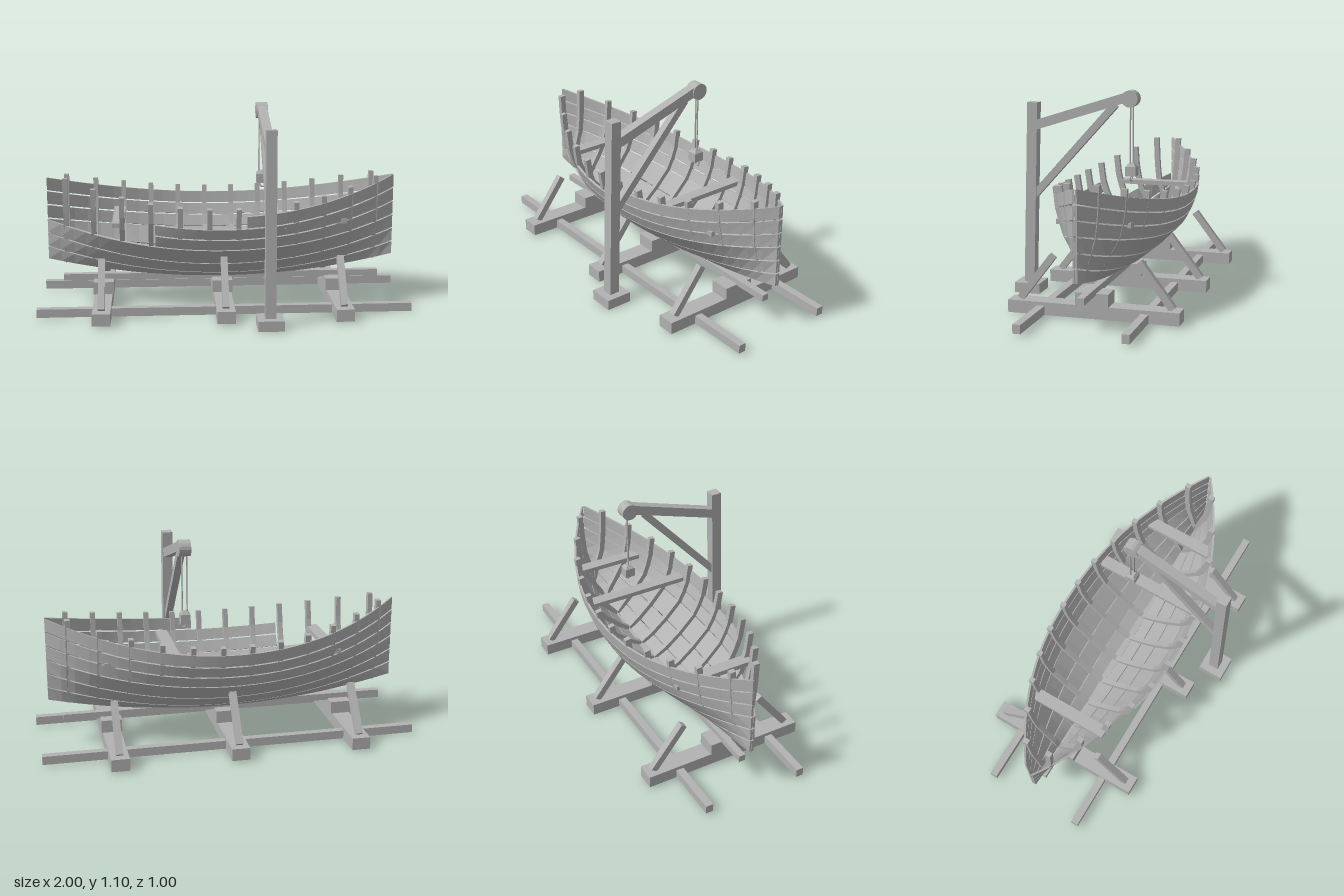
import * as THREE from 'three';

const wood = new THREE.MeshStandardMaterial({ color: 0xb2b2b2, flatShading: true, side: THREE.DoubleSide });
wood.name = 'weathered grey';

const HULL_X = -0.006, HULL_Z = -0.063, HALF = 0.947;
// Seam lines from keel to rim: half width and height amidships, height at the ends
const SEAMS = [
  [0.012, 0.145, 0.255], [0.09, 0.186, 0.33], [0.18, 0.259, 0.405], [0.275, 0.355, 0.482],
  [0.31, 0.42, 0.558], [0.334, 0.483, 0.634], [0.345, 0.553, 0.71],
];

// Half width and height of seam k at station x
function seam(k, x) {
  const t = Math.min(1, Math.abs(x - HULL_X) / HALF);
  const [w, y0, y1] = SEAMS[k];
  return new THREE.Vector2(0.012 + (w - 0.012) * (1 - t ** 2.2), y0 + (y1 - y0) * t * t);
}

// Inward offset of a section point, kept on its own side of the centre line
function inset(p, dir, d) {
  return [Math.max(0.001, p.x - dir.y * d), p.y + dir.x * d];
}

function mesh(geometry, name, parent) {
  const m = new THREE.Mesh(geometry, wood);
  m.name = name;
  parent.add(m);
  return m;
}

// Solid through four-cornered rings, capped at both ends and wound outwards
function loft(rings) {
  const pos = [];
  const quad = (a, b, c, d) => pos.push(...a, ...b, ...c, ...a, ...c, ...d);
  for (let i = 0; i + 1 < rings.length; i++) {
    for (let j = 0; j < 4; j++) {
      const n = (j + 1) % 4;
      quad(rings[i][j], rings[i][n], rings[i + 1][n], rings[i + 1][j]);
    }
  }
  const e = rings[rings.length - 1];
  quad(rings[0][3], rings[0][2], rings[0][1], rings[0][0]);
  quad(e[0], e[1], e[2], e[3]);
  let volume = 0;
  const v = (i) => new THREE.Vector3(pos[i], pos[i + 1], pos[i + 2]);
  for (let i = 0; i < pos.length; i += 9) volume += v(i).dot(v(i + 3).cross(v(i + 6)));
  if (volume < 0) {
    for (let i = 0; i < pos.length; i += 9) {
      for (let c = 0; c < 3; c++) [pos[i + 3 + c], pos[i + 6 + c]] = [pos[i + 6 + c], pos[i + 3 + c]];
    }
  }
  const g = new THREE.BufferGeometry();
  g.setAttribute('position', new THREE.Float32BufferAttribute(pos, 3));
  g.computeVertexNormals();
  return g;
}

// One hull plank between seams k and k + 1
function plank(k, side, x0, x1) {
  const n = Math.max(4, Math.round((x1 - x0) * 14));
  const rings = [];
  for (let i = 0; i <= n; i++) {
    const x = x0 + (x1 - x0) * i / n;
    const a = seam(k, x), b = seam(k + 1, x);
    const dir = b.clone().sub(a).normalize();
    const lo = a.clone().addScaledVector(dir, 0.004), hi = b.clone().addScaledVector(dir, -0.004);
    rings.push([inset(lo, dir, 0), inset(hi, dir, 0), inset(hi, dir, 0.012), inset(lo, dir, 0.012)]
      .map(([z, y]) => [x, y, HULL_Z + side * z]));
  }
  return loft(rings);
}

// One curved rib following the inside of the planks and rising past the rim
function rib(x, side) {
  const pts = SEAMS.map((_, k) => seam(k, x));
  const last = pts.length - 1;
  const up = pts[last].clone().sub(pts[last - 1]).normalize();
  pts.push(pts[last].clone().addScaledVector(up, 0.035));
  return loft(pts.map((p, i) => {
    const dir = pts[Math.min(i + 1, pts.length - 1)].clone().sub(pts[Math.max(i - 1, 0)]).normalize();
    const [zo, yo] = inset(p, dir, 0.005), [zi, yi] = inset(p, dir, 0.036);
    return [[x - 0.013, yo, zo], [x + 0.013, yo, zo], [x + 0.013, yi, zi], [x - 0.013, yi, zi]]
      .map(([px, y, z]) => [px, y, HULL_Z + side * z]);
  }));
}

// Box from its limits
function box(name, parent, x0, x1, y0, y1, z0, z1) {
  const m = mesh(new THREE.BoxGeometry(x1 - x0, y1 - y0, z1 - z0), name, parent);
  m.position.set((x0 + x1) / 2, (y0 + y1) / 2, (z0 + z1) / 2);
  return m;
}

// Square timber at station x between two (z, y) points
function timber(name, parent, x, width, depth, [z0, y0], [z1, y1]) {
  const m = mesh(new THREE.BoxGeometry(width, Math.hypot(z1 - z0, y1 - y0), depth), name, parent);
  m.position.set(x, (y0 + y1) / 2, (z0 + z1) / 2);
  m.rotation.x = Math.atan2(z1 - z0, y1 - y0);
  return m;
}

export function createModel() {
  const model = new THREE.Group();
  model.name = 'boatOnSlipway';
  const group = (name) => {
    const g = new THREE.Group();
    g.name = name;
    model.add(g);
    return g;
  };

  // Hull, with the front planking left unfinished towards the right end
  const hull = group('hull');
  const xa = HULL_X - HALF, xb = HULL_X + HALF;
  const frontStart = [xa, xa, xa, -0.37, -0.37, 0.11];
  for (let k = 0; k < 6; k++) {
    mesh(plank(k, -1, xa, xb), 'backPlank', hull);
    mesh(plank(k, 1, frontStart[k], xb), 'frontPlank', hull);
  }
  for (let i = 0; i < 12; i++) {
    for (const side of [-1, 1]) mesh(rib(-0.85 + i * 0.1527, side), 'rib', hull);
  }
  box('keel', hull, -0.875, 0.865, 0.132, 0.168, HULL_Z - 0.018, HULL_Z + 0.018);

  // Thwarts
  for (const x of [-0.565, 0.285, 0.625]) {
    const w = seam(5, x).x - 0.012;
    box('thwart', hull, x - 0.032, x + 0.032, 0.475, 0.5, HULL_Z - w, HULL_Z + w);
  }

  // Cradle: long rails, cross beams, keel blocks and slanted props
  const cradle = group('cradle');
  for (const z of [0.21, -0.325]) box('rail', cradle, -1, 1, 0.01, 0.055, z - 0.02, z + 0.02);
  for (const x of [-0.655, -0.006, 0.618]) {
    box('crossBeam', cradle, x - 0.048, x + 0.048, 0.008, 0.073, -0.5, 0.385);
    box('keelBlock', cradle, x - 0.055, x + 0.055, 0.073, 0.14, -0.143, 0.028);
    for (const side of [-1, 1]) {
      timber('prop', cradle, x, 0.036, 0.036,
        [HULL_Z + side * 0.394, 0.077], [HULL_Z + side * 0.222, 0.302]);
    }
  }

  // Crane
  const crane = group('crane');
  const cx = 0.217;
  box('craneFoot', crane, cx - 0.068, cx + 0.068, 0, 0.055, 0.36, 0.5);
  timber('cranePost', crane, cx, 0.056, 0.056, [0.43, 0.05], [0.401, 1.025]);
  timber('craneArm', crane, cx, 0.05, 0.05, [0.39, 0.904], [-0.137, 1.072]);
  timber('craneBrace', crane, cx, 0.038, 0.038, [0.4, 0.53], [-0.045, 1.022]);
  const pulley = mesh(new THREE.CylinderGeometry(0.044, 0.044, 0.062, 16), 'pulley', crane);
  pulley.rotation.z = Math.PI / 2;
  pulley.position.set(cx, 1.056, -0.129);
  for (const s of [-1, 1]) {
    const rope = mesh(new THREE.CylinderGeometry(0.004, 0.004, 0.34, 6), 'rope', crane);
    rope.position.set(cx + s * 0.012, 0.88, -0.134 + s * 0.004);
  }

  // Hanging block with a tapered top and a small hook
  box('hangingBlock', crane, cx - 0.026, cx + 0.026, 0.655, 0.705, -0.162, -0.106);
  const cap = mesh(new THREE.CylinderGeometry(0.02, 0.038, 0.016, 4), 'hangingBlockTop', crane);
  cap.rotation.y = Math.PI / 4;
  cap.position.set(cx, 0.713, -0.134);
  const hook = mesh(new THREE.TorusGeometry(0.016, 0.004, 6, 10, Math.PI * 1.4), 'hook', crane);
  hook.rotation.z = Math.PI * 0.9;
  hook.position.set(cx + 0.01, 0.645, -0.134);

  return model;
}
